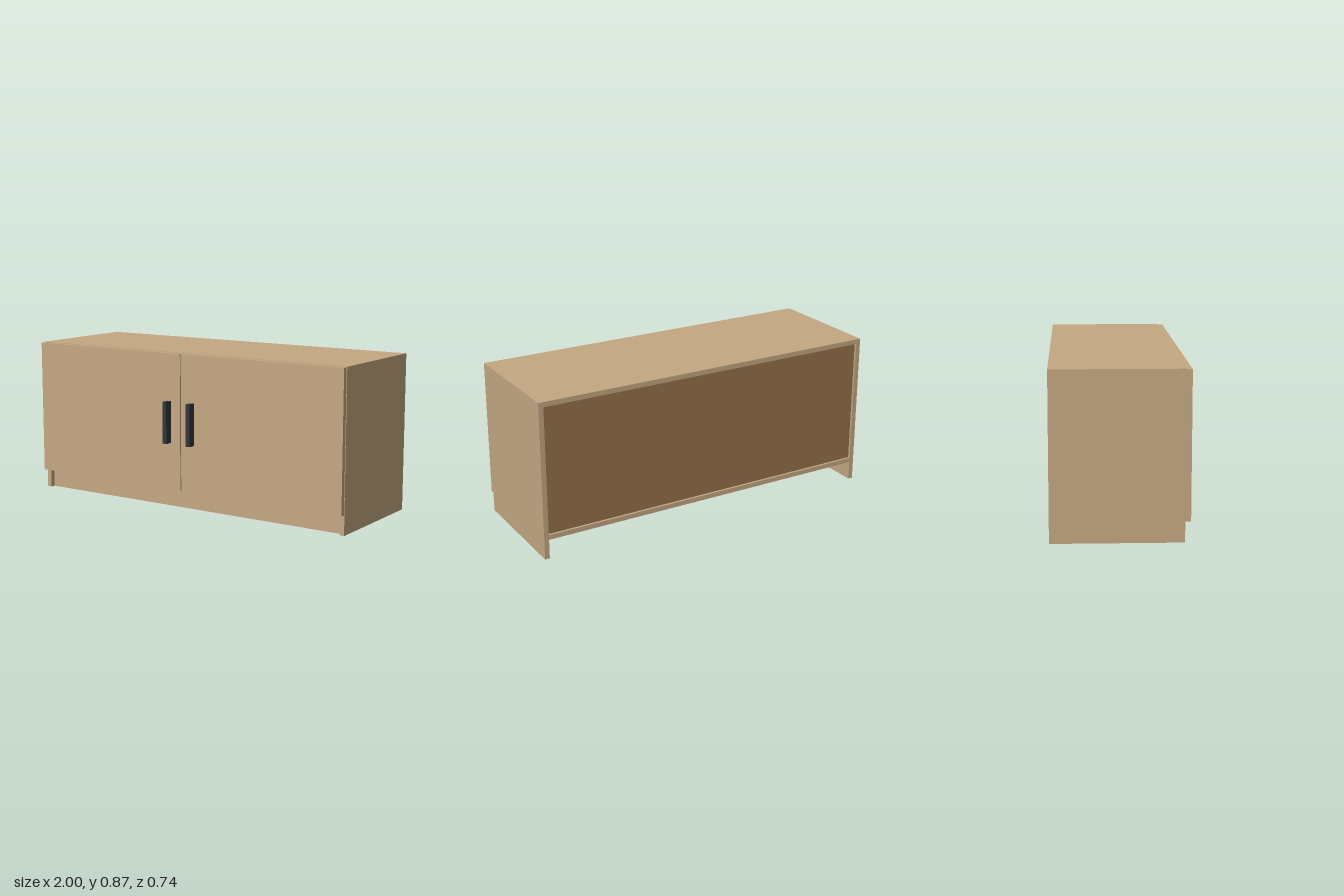
import * as THREE from 'three';

export function createModel() {
  const model = new THREE.Group();
  model.name = 'cabinet';

  const material = (name, color) => {
    const m = new THREE.MeshStandardMaterial({ color });
    m.name = name;
    return m;
  };
  const wood = material('light wood', 0xc4a882);
  const backing = material('brown backing', 0x96734c);
  const dark = material('dark metal', 0x30373a);

  // Box given by its extents along each axis
  const box = (name, mat, [x0, x1], [y0, y1], [z0, z1]) => {
    const mesh = new THREE.Mesh(new THREE.BoxGeometry(x1 - x0, y1 - y0, z1 - z0), mat);
    mesh.position.set((x0 + x1) / 2, (y0 + y1) / 2, (z0 + z1) / 2);
    mesh.name = name;
    model.add(mesh);
  };

  const H = 0.867, T = 0.027;        // height, board thickness
  const back = -0.372, front = 0.3;  // carcass depth
  const inner = [-1 + T, 1 - T];     // between the side panels

  // Carcass boards
  box('topPanel', wood, inner, [H - T, H], [back, front]);
  box('bottomPanel', wood, inner, [0.107, 0.107 + T], [back, front]);
  box('plinth', wood, inner, [0, 0.107], [front - 2 * T, front - T]);
  box('backPanel', backing, inner, [0.107 + T, H - T], [back + 0.013, back + 0.024]);

  // Mirrored side panels, doors and handles
  for (const [side, s] of [['left', 1], ['right', -1]]) {
    const span = (a, b) => (s > 0 ? [a, b] : [-b, -a]);
    box(side + 'SidePanel', wood, span(1 - T, 1), [0, H], [back, front]);
    box(side + 'Door', wood, span(0.003, 0.998), [0.107, 0.864], [front + 0.002, 0.329]);
    box(side + 'Handle', dark, span(0.065, 0.09), [0.37, 0.602], [0.329, 0.372]);
  }
  return model;
}
